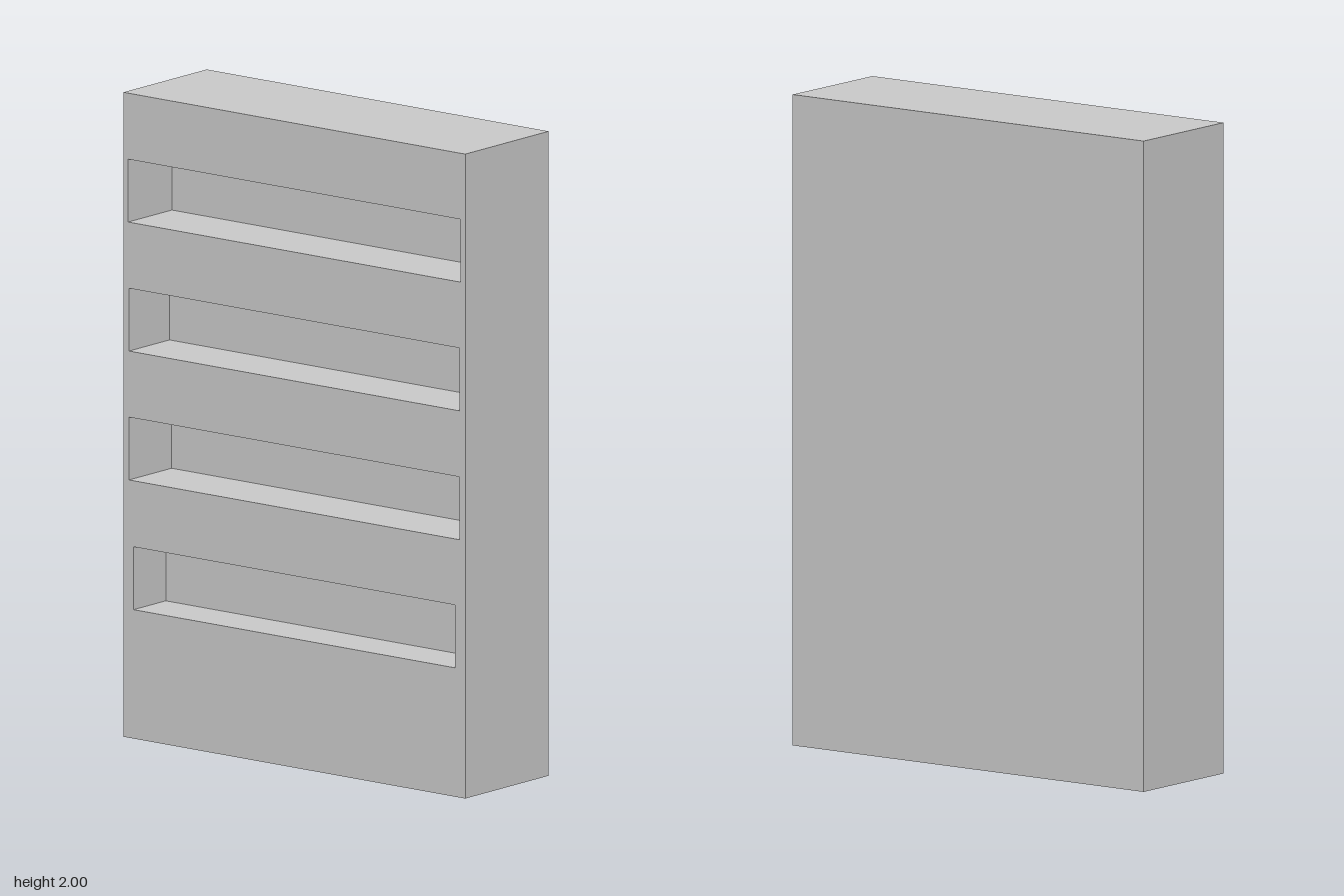
import * as THREE from 'three';

const W = 0.4, H = 2, D = 1.333;

// Shelf recesses open on the -x side: floor height, half length, depth
const RECESSES = [
  { y: 0.4, half: 0.627, depth: 0.155 },
  { y: 0.8, half: 0.645, depth: 0.205 },
  { y: 1.2, half: 0.645, depth: 0.195 },
  { y: 1.6, half: 0.648, depth: 0.21 },
];
const RECESS_H = 0.195;

// Box without its -x side; inward turns the faces to the inside
function openBox(w, h, d, inward) {
  const g = new THREE.BoxGeometry(w, h, d);
  const index = Array.from(g.index.array);
  index.splice(6, 6);
  if (inward) index.reverse();
  g.setIndex(index);
  g.clearGroups();
  g.computeVertexNormals();
  return g;
}

function rectangle(target, half, y0, y1) {
  target.moveTo(-half, y0);
  target.lineTo(half, y0);
  target.lineTo(half, y1);
  target.lineTo(-half, y1);
  target.closePath();
  return target;
}

export function createModel() {
  const group = new THREE.Group();
  group.name = 'bookcase';
  const material = new THREE.MeshStandardMaterial({ color: 0xcccccc });
  const add = (name, geometry) => {
    const mesh = new THREE.Mesh(geometry, material);
    mesh.name = name;
    group.add(mesh);
    return mesh;
  };

  // Outer case: front, back, top, bottom and the closed side
  add('case', openBox(W, H, D, false)).position.y = H / 2;

  // Open side with a cut-out for each shelf
  const face = rectangle(new THREE.Shape(), D / 2, 0, H);
  for (const r of RECESSES) {
    face.holes.push(rectangle(new THREE.Path(), r.half, r.y, r.y + RECESS_H));
  }
  const faceGeometry = new THREE.ShapeGeometry(face);
  faceGeometry.rotateY(-Math.PI / 2);
  add('shelfFace', faceGeometry).position.x = -W / 2;

  // Inner walls of each shelf
  RECESSES.forEach((r, i) => {
    add(`shelfRecess${i + 1}`, openBox(r.depth, RECESS_H, r.half * 2, true))
      .position.set(-W / 2 + r.depth / 2, r.y + RECESS_H / 2, 0);
  });

  return group;
}
